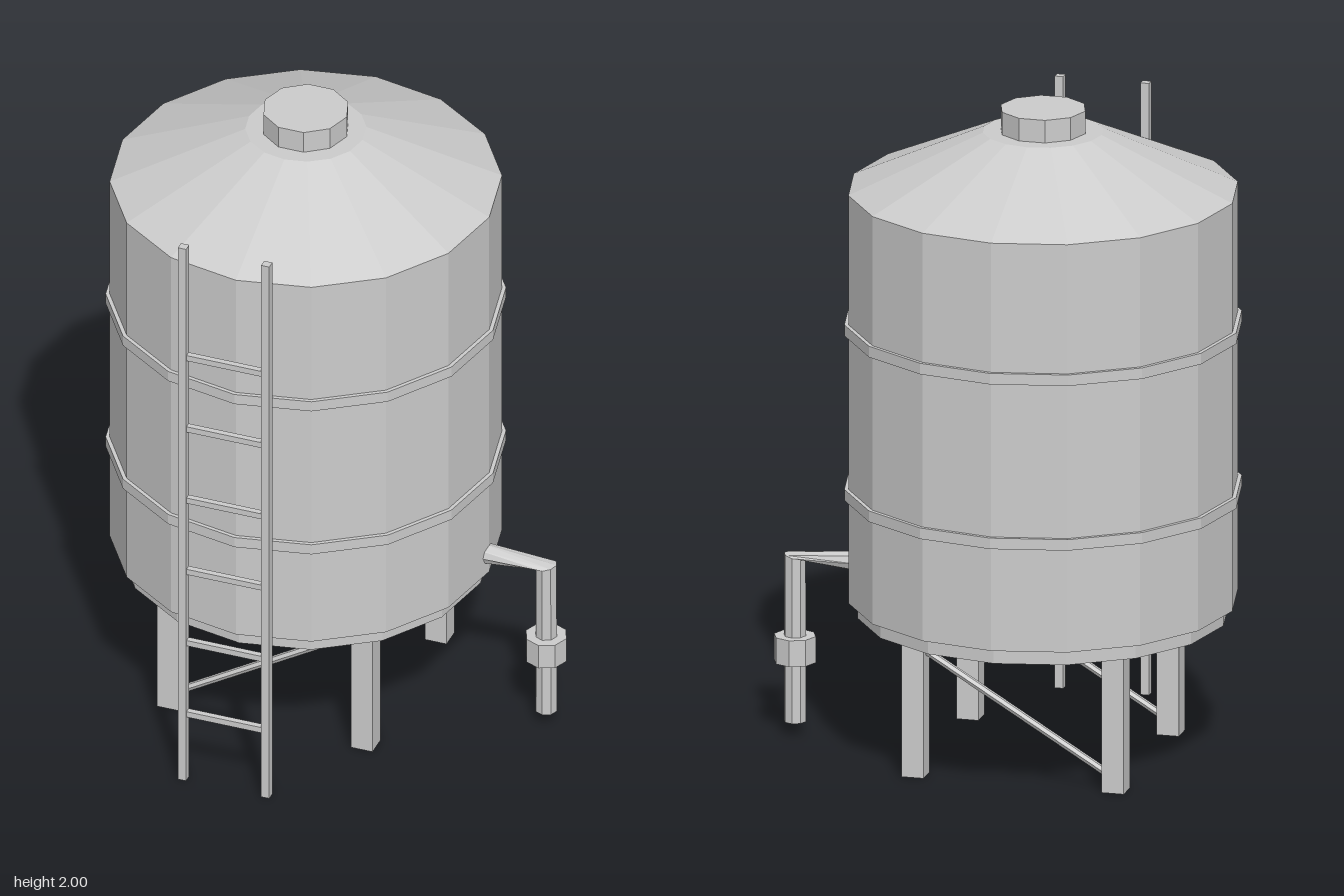
import * as THREE from 'three';

export function createModel() {
  const model = new THREE.Group();
  model.name = 'storageTank';
  const steel = new THREE.MeshStandardMaterial({ color: 0xcccccc, flatShading: true });
  steel.name = 'grey steel';

  const CX = -0.12, CZ = -0.045; // tank axis

  function add(name, geometry, x = 0, y = 0, z = 0, parent = model) {
    const mesh = new THREE.Mesh(geometry, steel);
    mesh.name = name;
    mesh.position.set(x, y, z);
    parent.add(mesh);
    return mesh;
  }
  // Faceted drum between two heights
  function drum(name, rTop, rBottom, y0, y1, sides = 16, x = CX) {
    return add(name, new THREE.CylinderGeometry(rTop, rBottom, y1 - y0, sides), x, (y0 + y1) / 2, CZ);
  }

  // Tank shell, roof, hatch and hoops
  drum('skirt', 0.555, 0.555, 0.44, 0.487);
  drum('tankBody', 0.582, 0.582, 0.487, 1.75);
  drum('roof', 0.18, 0.582, 1.75, 1.93);
  drum('hatch', 0.13, 0.13, 1.93, 2.0, 10).rotation.y = Math.PI / 2;
  for (const y of [0.823, 1.333]) drum('hoop', 0.594, 0.594, y - 0.017, y + 0.017);

  // Legs, with one diagonal brace across the front and back pairs
  const LEG = 0.308;
  for (const sz of [1, -1]) {
    const z = CZ + sz * LEG;
    for (const sx of [1, -1]) {
      add('leg', new THREE.BoxGeometry(0.068, 0.45, 0.068), CX + sx * LEG, 0.225, z);
    }
    const rise = 0.37, run = 2 * LEG;
    const brace = add('brace', new THREE.CylinderGeometry(0.012, 0.012, Math.hypot(rise, run), 6), CX, 0.221, z);
    brace.rotation.z = -Math.atan2(run, rise);
  }

  // Ladder
  const ladder = new THREE.Group();
  ladder.name = 'ladder';
  ladder.position.set(CX, 0, 0.626);
  model.add(ladder);
  for (const s of [1, -1]) {
    add('ladderRail', new THREE.BoxGeometry(0.026, 1.895, 0.026), s * 0.132, 0.9475, 0, ladder);
  }
  for (let i = 0; i < 6; i++) {
    add('ladderRung', new THREE.BoxGeometry(0.264, 0.019, 0.019), 0, 0.235 + i * 0.254, 0, ladder);
  }

  // Outlet pipe: a cylinder whose three rings are bent round the elbow
  const R = 0.034, PX = 0.643;
  const rings = {
    '1': [0.42, 0.55, Math.PI / 2],
    '0': [PX, 0.552, 0.24],
    '-1': [PX, 0.04, 0],
  };
  const pipe = new THREE.CylinderGeometry(R, R, 2, 8, 2);
  const p = pipe.attributes.position;
  for (let i = 0; i < p.count; i++) {
    const [cx, cy, tilt] = rings[String(Math.round(p.getY(i)))];
    const x = p.getX(i);
    p.setXY(i, cx + x * Math.cos(tilt), cy + x * Math.sin(tilt));
  }
  pipe.computeVertexNormals();
  add('outletPipe', pipe, 0, 0, CZ);
  drum('valveCollar', 0.064, 0.064, 0.225, 0.306, 8, PX);

  return model;
}
